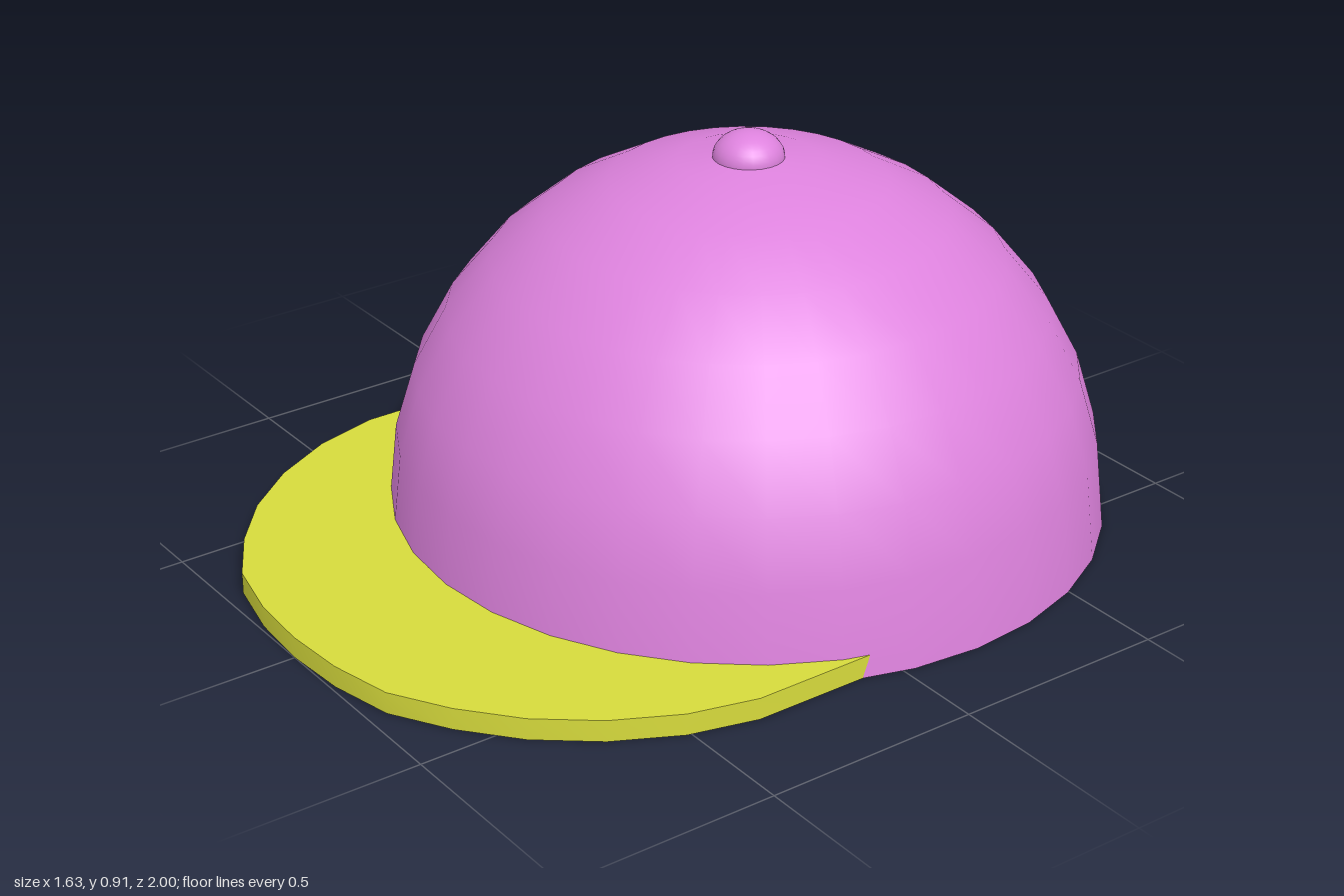
import * as THREE from 'three';
import { toCreasedNormals } from 'three/addons/utils/BufferGeometryUtils.js';

const CROWN_Z = -0.185;

export function createModel() {
  const cap = new THREE.Group();
  cap.name = 'cap';
  const pink = new THREE.MeshStandardMaterial({ color: 0xdd82dd });
  const yellow = new THREE.MeshStandardMaterial({ color: 0xd6da3c });

  function add(name, geometry, material, y, z) {
    const mesh = new THREE.Mesh(geometry, material);
    mesh.name = name;
    mesh.position.set(0, y, z);
    cap.add(mesh);
  }

  // Dome profile from the open rim to the pole
  function domeProfile(radius, rim) {
    const points = [new THREE.Vector2(rim, 0)];
    for (let i = 1; i <= 8; i++) {
      const a = (i * Math.PI) / 16;
      points.push(new THREE.Vector2(Math.max(radius * Math.cos(a), 0), 0.05 + radius * Math.sin(a)));
    }
    return points;
  }

  // Crown: thin shell with an outer skin, a lining and a rim edge
  const outer = domeProfile(0.808, 0.815);
  const inner = domeProfile(0.795, 0.802).reverse();
  add('crown', new THREE.LatheGeometry(outer, 32), pink, 0, CROWN_Z);
  add('crownLining', new THREE.LatheGeometry(inner, 32), pink, 0, CROWN_Z);
  add('crownRim', new THREE.RingGeometry(0.802, 0.815, 32).rotateX(Math.PI / 2), pink, 0, CROWN_Z);

  // Button on top
  const button = new THREE.SphereGeometry(0.08, 24, 10, 0, Math.PI * 2, 0, Math.PI / 2);
  button.scale(1, 0.75, 1);
  add('button', button, pink, 0.85, CROWN_Z);

  // Brim: flat crescent hugging the front of the crown
  const half = [[0.765, 0.07], [0.765, 0.355], [0.725, 0.51], [0.65, 0.655], [0.55, 0.78],
    [0.43, 0.88], [0.3, 0.957], [0.15, 0.99]];
  const edge = [...half, [0, 1], ...half.map(([x, z]) => [-x, z]).reverse()];
  const outline = new THREE.Shape(edge.map(([x, z]) => new THREE.Vector2(x, z)));
  const end = Math.atan2(0.07 - CROWN_Z, 0.765);
  outline.absarc(0, CROWN_Z, 0.806, Math.PI - end, end, true);
  const slab = new THREE.ExtrudeGeometry(outline, { depth: 0.05, bevelEnabled: false, curveSegments: 24 });
  slab.rotateX(Math.PI / 2);
  add('brim', toCreasedNormals(slab, 0.6), yellow, 0.05, 0);

  return cap;
}
